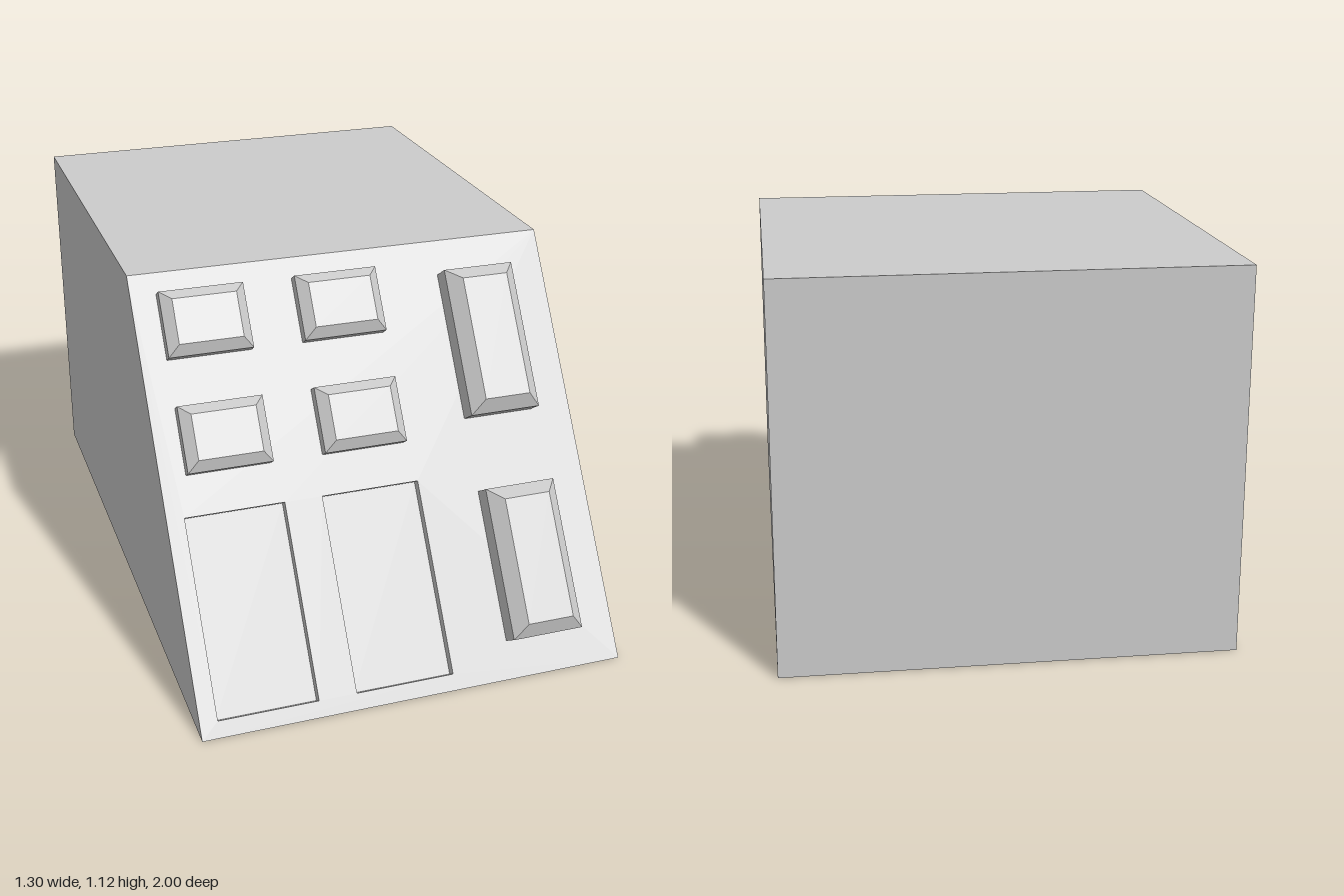
import * as THREE from 'three';

const W = 1.3, H = 1.12, ZTOP = 0.255;          // body width, height, front edge of the roof
const TILT = Math.atan2(1 - ZTOP, H);           // lean of the front panel
const SLOPE = Math.hypot(1 - ZTOP, H);          // panel length along the slope
const up = (y) => y / Math.cos(TILT);           // world height -> distance along the slope

const material = new THREE.MeshStandardMaterial({ color: 0xcccccc, flatShading: true });

function addMesh(parent, name, geometry) {
  const mesh = new THREE.Mesh(geometry, material);
  mesh.name = name;
  parent.add(mesh);
  return mesh;
}

// Flat-shaded geometry from four-cornered faces
function fromQuads(points, quads) {
  const pos = [];
  for (const [a, b, c, d] of quads)
    for (const i of [a, b, c, a, c, d]) pos.push(...points[i]);
  const g = new THREE.BufferGeometry();
  g.setAttribute('position', new THREE.Float32BufferAttribute(pos, 3));
  g.computeVertexNormals();
  return g;
}

// Stacked rectangles [inset, level], closed by the last one;
// rising levels make a button, falling levels make a pocket
function rectLoft(x0, x1, y0, y1, rings) {
  const points = [], quads = [];
  rings.forEach(([s, z], r) => {
    points.push([x0 + s, y0 + s, z], [x1 - s, y0 + s, z], [x1 - s, y1 - s, z], [x0 + s, y1 - s, z]);
    if (r === 0) return;
    const a = (r - 1) * 4, b = r * 4;
    for (let i = 0; i < 4; i++) {
      const j = (i + 1) % 4;
      quads.push([a + i, a + j, b + j, b + i]);
    }
  });
  const n = points.length - 4;
  quads.push([n, n + 1, n + 2, n + 3]);
  return fromQuads(points, quads);
}

export function createModel() {
  const model = new THREE.Group();
  model.name = 'slopedConsole';

  // Wedge body, open where the front panel sits
  const profile = [[0, 1], [0, -1], [H, -1], [H, ZTOP]];
  const corners = [-W / 2, W / 2].flatMap((x) => profile.map(([y, z]) => [x, y, z]));
  addMesh(model, 'body', fromQuads(corners, [
    [0, 3, 2, 1], [4, 5, 6, 7],                 // right and left sides
    [0, 1, 5, 4], [1, 2, 6, 5], [2, 3, 7, 6],   // bottom, back, roof
  ]));

  // Panel frame: local y runs up the slope, local z points out of it
  const panel = new THREE.Group();
  panel.name = 'frontPanel';
  panel.position.z = 1;
  panel.rotation.x = -TILT;
  model.add(panel);

  // Panel face with two rectangular openings
  const face = new THREE.Shape([
    new THREE.Vector2(-W / 2, 0), new THREE.Vector2(W / 2, 0),
    new THREE.Vector2(W / 2, SLOPE), new THREE.Vector2(-W / 2, SLOPE),
  ]);
  const p0 = up(0.04), p1 = up(0.52);
  for (const x of [-0.597, -0.182]) {
    const x1 = x + 0.3;
    face.holes.push(new THREE.Path([
      new THREE.Vector2(x, p0), new THREE.Vector2(x, p1),
      new THREE.Vector2(x1, p1), new THREE.Vector2(x1, p0),
    ]));
    addMesh(panel, 'recess', rectLoft(x, x1, p0, p1, [[0, 0], [0, -0.03]]));
  }
  addMesh(panel, 'panelFace', new THREE.ShapeGeometry(face));

  // Four small bevelled buttons
  for (const x of [-0.573, -0.16])
    for (const y of [0.62, 0.902])
      addMesh(panel, 'smallButton', rectLoft(x, x + 0.255, up(y), up(y + 0.164),
        [[0, 0], [0, 0.036], [0.031, 0.064]]));

  // Two tall bevelled buttons
  for (const y of [0.095, 0.656])
    addMesh(panel, 'tallButton', rectLoft(0.302, 0.523, up(y), up(y + 0.375),
      [[0, 0], [0, 0.063], [0.039, 0.103]]));

  return model;
}
